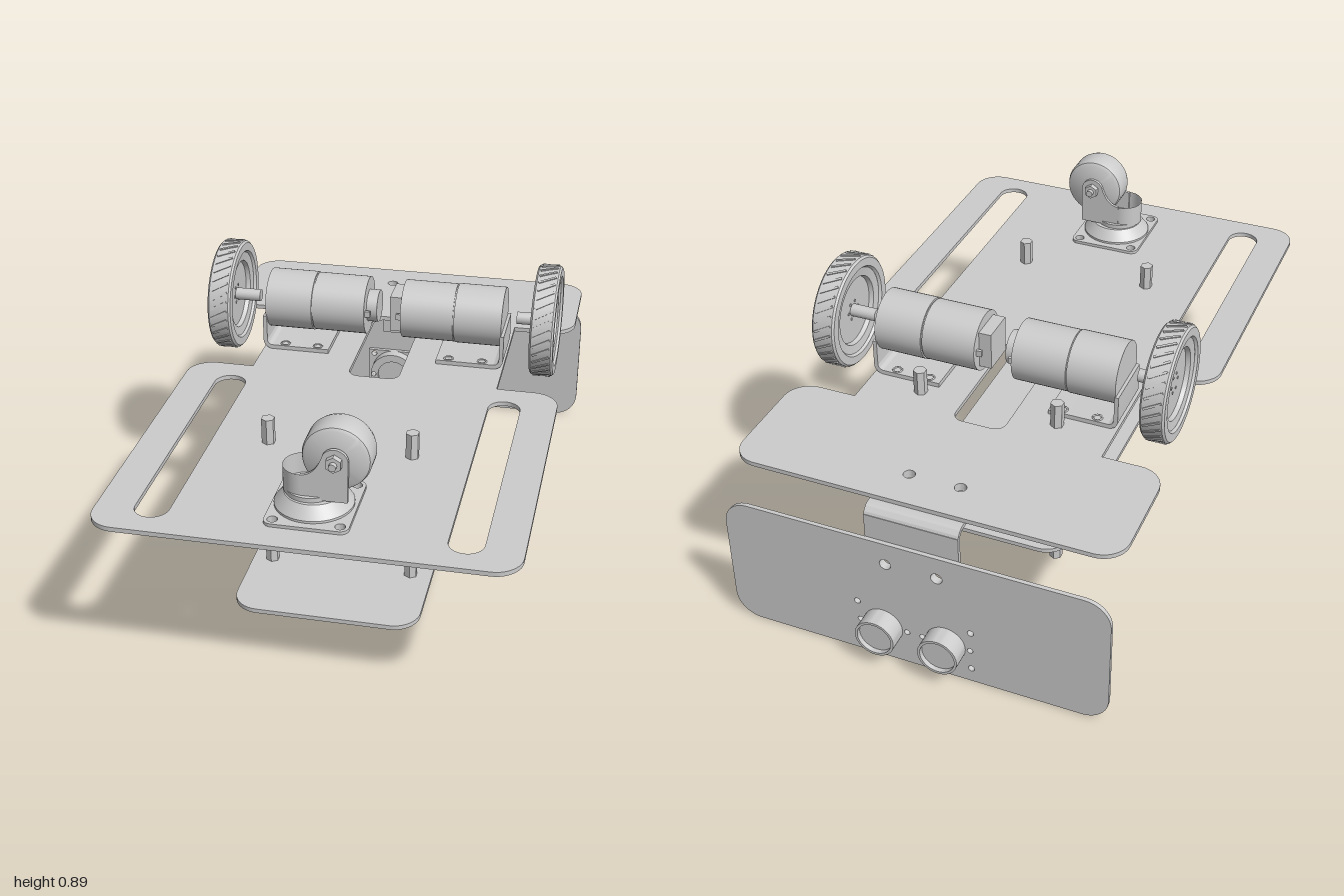
import * as THREE from 'three';
import { toCreasedNormals } from 'three/addons/utils/BufferGeometryUtils.js';

const mat = new THREE.MeshStandardMaterial({ color: 0xcccccc });
const matDouble = new THREE.MeshStandardMaterial({ color: 0xcccccc, side: THREE.DoubleSide });

function add(parent, name, geo, x = 0, y = 0, z = 0, material = mat) {
  const m = new THREE.Mesh(geo, material);
  m.name = name;
  m.position.set(x, y, z);
  parent.add(m);
  return m;
}

// Closed path through [x, y, cornerRadius] points, with round corners
function roundedPath(path, pts) {
  const k = 0.4477, n = pts.length;
  pts.forEach(([x, y, r = 0], i) => {
    const c = new THREE.Vector2(x, y);
    const toward = (p, d) => new THREE.Vector2(p[0], p[1]).sub(c).setLength(d).add(c);
    const prev = pts[(i + n - 1) % n], next = pts[(i + 1) % n];
    const a = toward(prev, r), b = toward(next, r);
    if (i === 0) path.moveTo(a.x, a.y); else path.lineTo(a.x, a.y);
    if (r > 0) {
      const a2 = toward(prev, r * k), b2 = toward(next, r * k);
      path.bezierCurveTo(a2.x, a2.y, b2.x, b2.y, b.x, b.y);
    }
  });
  path.closePath();
  return path;
}
const rect = (x0, y0, x1, y1, r = 0) => [[x0, y0, r], [x1, y0, r], [x1, y1, r], [x0, y1, r]];
const hole = (x, y, r) => new THREE.Path().absarc(x, y, r, 0, Math.PI * 2, true);

// Extruded plate standing in the XY plane, from z = 0 to z = t
function plate(pts, holes, t) {
  const s = roundedPath(new THREE.Shape(), pts);
  s.holes.push(...holes);
  return toCreasedNormals(new THREE.ExtrudeGeometry(s, { depth: t, bevelEnabled: false, curveSegments: 10 }), 0.6);
}
// Lying plate: the shape's y becomes z, thickness goes down from the position
const flat = (pts, holes, t) => plate(pts, holes, t).rotateX(Math.PI / 2);

const lathe = (pts, seg = 48) =>
  toCreasedNormals(new THREE.LatheGeometry(pts.map(p => new THREE.Vector2(...p)), seg), 0.6);
const cyl = (r, h, seg = 32, r2 = r) => new THREE.CylinderGeometry(r, r2, h, seg);
const alongX = g => g.rotateZ(-Math.PI / 2);
const alongZ = g => g.rotateX(Math.PI / 2);

const CZ = 0.765;                 // caster centre
const MY = 0.705, MZ = -0.25;     // motor axis
const casterHoles = () => [-1, 1].flatMap(a => [-1, 1].map(b => hole(a * 0.095, CZ + b * 0.11, 0.015)));
const footHoles = s => [0.22, 0.33].flatMap(x => [-1, 1].map(b => hole(s * x, MZ + b * 0.075, 0.013)));

function chassis(g) {
  // Upper deck with a narrow waist, slots and a central opening
  const R = 0.08;
  const outline = [[-0.6, 0.99, R], [-0.6, -0.02, R], [-0.4, -0.02], [-0.4, -0.48], [-0.6, -0.48, R], [-0.6, -0.88, R],
    [0.6, -0.88, R], [0.6, -0.48, R], [0.4, -0.48], [0.4, -0.02], [0.6, -0.02, R], [0.6, 0.99, R]];
  const holes = [
    roundedPath(new THREE.Path(), rect(-0.085, -0.48 + 0.005, 0.08, -0.02, 0.035)),
    ...[-0.44, 0.44].map(x => roundedPath(new THREE.Path(), rect(x - 0.05, 0.06, x + 0.05, 0.92, 0.0499))),
    ...[-0.08, 0.08].map(x => hole(x, -0.76, 0.018)),
    ...casterHoles(), ...footHoles(1), ...footHoles(-1)];
  add(g, 'upperDeck', flat(outline, holes, 0.014), 0, 0.559, 0);
  add(g, 'lowerDeck', flat(rect(-0.28, -0.48, 0.28, 0.72, 0.08), [], 0.014), 0, 0.142, 0);
  // Hexagonal standoffs
  for (const [x, z] of [[-0.22, 0.45], [0.215, 0.45], [-0.225, -0.385], [0.222, -0.385]])
    add(g, 'standoff', toCreasedNormals(cyl(0.021, 0.595, 6), 0.5), x, 0.342, z);
}

function motorUnit(g, s) {
  const m = new THREE.Group();
  m.name = s > 0 ? 'leftDrive' : 'rightDrive';
  g.add(m);
  const bar = (name, r, x0, x1, seg = 40) =>
    add(m, name, alongX(cyl(r, x1 - x0, seg)), s * (x0 + x1) / 2, MY, MZ);
  bar('motorCan', 0.095, 0.06, 0.232);
  bar('motorSeam', 0.091, 0.23, 0.238);
  bar('gearbox', 0.097, 0.236, 0.39);
  bar('wheelShaft', 0.02, 0.43, 0.53, 20);
  // Inner end of the motor: round boss on one side, block on the other
  if (s < 0) bar('motorBoss', 0.053, 0.025, 0.06);
  else add(m, 'encoderBlock', new THREE.BoxGeometry(0.04, 0.12, 0.11), 0.04, MY, MZ);
  for (const b of [-1, 1])
    add(m, 'terminal', new THREE.BoxGeometry(0.02, 0.02, 0.01), s * 0.053, MY, MZ + b * 0.072);
  // Bent bracket carrying the motor
  const prof = [[0.18, 0.559], [0.4, 0.559, 0.03], [0.4, 0.675], [0.387, 0.675], [0.387, 0.573, 0.018], [0.18, 0.573]];
  const pts = prof.map(([x, y, r]) => [s * x, y, r]);
  add(m, 'motorBracket', plate(s > 0 ? pts : pts.reverse(), [], 0.19), 0, 0, MZ - 0.095);
  for (const x of [0.22, 0.33]) for (const b of [-1, 1])
    add(m, 'footScrew', new THREE.TorusGeometry(0.014, 0.003, 6, 16).rotateX(Math.PI / 2), s * x, 0.573, MZ + b * 0.075);

  // Wheel: tyre, stepped rim and hub with small bolts
  const w = new THREE.Group();
  w.name = 'wheel';
  w.position.set(s * 0.526, MY, MZ);
  m.add(w);
  add(w, 'tyre', alongX(lathe([[0.14, -0.03], [0.146, -0.038], [0.172, -0.038], [0.178, -0.032], [0.178, 0.032],
    [0.172, 0.038], [0.146, 0.038], [0.14, 0.03], [0.14, -0.03]], 64)));
  add(w, 'rim', alongX(lathe([[0, -0.012], [0.108, -0.012], [0.112, -0.026], [0.141, -0.03],
    [0.141, 0.03], [0.112, 0.026], [0.108, 0.012], [0, 0.012]], 64)));
  for (let i = 0; i < 6; i++) {
    const a = i * Math.PI / 3;
    add(w, 'hubBolt', alongX(cyl(0.005, 0.028, 10)), 0, 0.03 * Math.sin(a), 0.03 * Math.cos(a));
  }
  // Slanted tread ribs
  const ribs = 36;
  for (let i = 0; i < ribs; i++) {
    const spoke = new THREE.Group();
    spoke.rotation.x = i / ribs * Math.PI * 2;
    w.add(spoke);
    add(spoke, 'treadRib', new THREE.BoxGeometry(0.06, 0.006, 0.007).rotateY(0.5), 0, 0.178, 0);
  }
}

function caster(g) {
  const c = new THREE.Group();
  c.name = 'caster';
  g.add(c);
  add(c, 'casterBase', flat(rect(-0.12, CZ - 0.135, 0.12, CZ + 0.135, 0.025), casterHoles(), 0.01), 0, 0.569, 0);
  add(c, 'swivelDish', lathe([[0, 0], [0.113, 0], [0.113, 0.008], [0.085, 0.043], [0, 0.043]]), -0.003, 0.568, CZ);
  add(c, 'swivelPlate', cyl(0.075, 0.016), -0.01, 0.617, CZ);
  // Fork: curved back joining two arms
  const back = new THREE.CylinderGeometry(0.062, 0.062, 0.075, 24, 1, true, Math.PI, Math.PI);
  add(c, 'forkBack', back, -0.028, 0.652, CZ, matDouble);
  const arm = new THREE.Shape();
  arm.moveTo(-0.028, 0.615);
  arm.lineTo(0.105, 0.615);
  arm.lineTo(0.108, 0.74);
  arm.absarc(0.07, 0.74, 0.038, 0, Math.PI * 0.85, false);
  arm.quadraticCurveTo(0.015, 0.69, -0.028, 0.69);
  arm.closePath();
  const armGeo = toCreasedNormals(new THREE.ExtrudeGeometry(arm, { depth: 0.01, bevelEnabled: false }), 0.6);
  add(c, 'forkArm', armGeo, 0, 0, CZ + 0.053);
  add(c, 'forkArm', armGeo, 0, 0, CZ - 0.063);
  const roller = lathe([[0, -0.048], [0.085, -0.048], [0.094, -0.042], [0.098, -0.03], [0.098, 0.03],
    [0.094, 0.042], [0.085, 0.048], [0, 0.048]]);
  add(c, 'casterWheel', alongZ(roller), 0.07, 0.74, CZ);
  add(c, 'axle', alongZ(cyl(0.011, 0.19, 16)), 0.07, 0.74, CZ);
  for (const b of [-1, 1])
    add(c, 'axleNut', toCreasedNormals(alongZ(cyl(0.024, 0.018, 6)), 0.5), 0.07, 0.74, CZ + b * 0.072);
}

function sensorPanel(g) {
  // Small through holes shared by the panel and the sensor board
  const small = () => [
    ...[-0.18, 0.18].flatMap(x => [0.05, 0.19].map(y => hole(x, y, 0.01))),
    ...[-0.177, -0.026, 0.023, 0.174].map(x => hole(x, 0.12, 0.009))];
  const bolts = y => [-0.08, 0.08].map(x => hole(x, y, 0.018));
  add(g, 'rearPanel', plate(rect(-0.6, 0, 0.6, 0.44, 0.08), [...small(), ...bolts(0.365)], 0.013), 0, 0, -0.939);
  add(g, 'sensorBoard', plate(rect(-0.2, 0.032, 0.2, 0.206), small(), 0.014), 0, 0, -0.926);
  for (const x of [-0.1, 0.1]) {
    const ring = new THREE.Shape().absarc(x, 0.12, 0.0865, 0, Math.PI * 2, false);
    ring.holes.push(hole(x, 0.12, 0.058), hole(x - 0.075, 0.12, 0.009), hole(x + 0.075, 0.12, 0.009));
    const ringGeo = new THREE.ExtrudeGeometry(ring, { depth: 0.04, bevelEnabled: false, curveSegments: 24 });
    add(g, 'sensorCollar', toCreasedNormals(ringGeo, 0.6), 0, 0, -0.914);
    // Open-ended emitter can pointing backwards
    const can = lathe([[0, 0], [0.062, 0], [0.062, 0.115], [0.054, 0.115], [0.054, 0.1], [0, 0.1]]);
    add(g, 'sensorCan', can.rotateX(-Math.PI / 2), x, 0.12, -0.885);
  }
  // Bent bracket joining the panel to the deck
  add(g, 'panelBracketTop', flat(rect(-0.145, -0.89, 0.145, -0.67), bolts(-0.76), 0.013), 0, 0.545, 0);
  add(g, 'panelBracketDrop', plate(rect(-0.145, 0.285, 0.145, 0.52), bolts(0.365), 0.013), 0, 0, -0.926);
  const bend = new THREE.Shape();
  bend.absarc(0, 0, 0.036, Math.PI / 2, Math.PI, false);
  bend.absarc(0, 0, 0.023, Math.PI, Math.PI / 2, true);
  const bendGeo = new THREE.ExtrudeGeometry(bend, { depth: 0.29, bevelEnabled: false });
  bendGeo.rotateY(-Math.PI / 2);
  add(g, 'panelBracketBend', toCreasedNormals(bendGeo, 0.6), 0.145, 0.509, -0.89);
}

export function createModel() {
  const g = new THREE.Group();
  g.name = 'robotChassis';
  chassis(g);
  for (const s of [1, -1]) motorUnit(g, s);
  caster(g);
  sensorPanel(g);
  return g;
}
